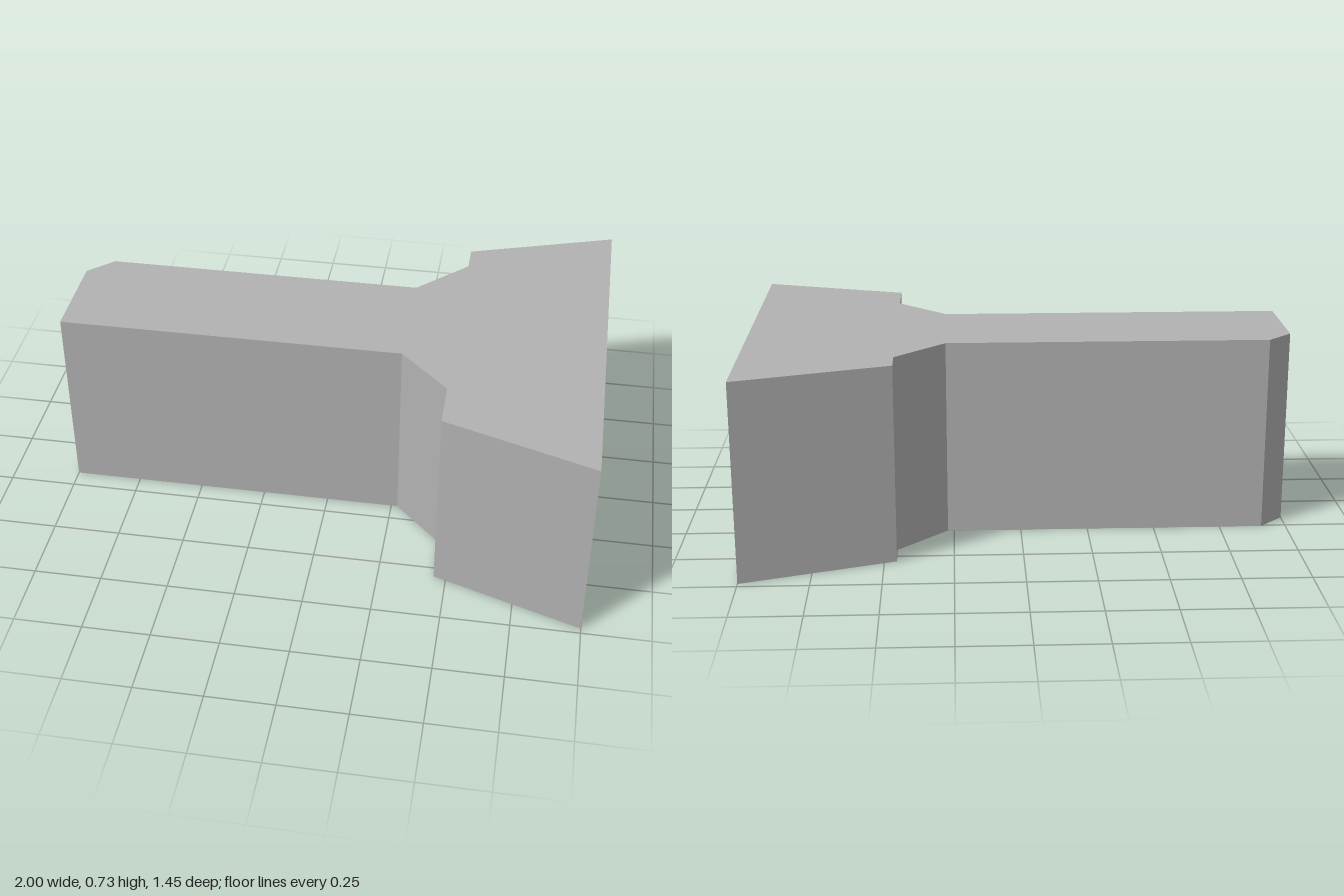
import * as THREE from 'three';

const HEIGHT = 0.727;

// Plan outline as [x, z], running along the back edge and returning along the front
const OUTLINE = [
  [-1, -0.171], [-0.909, -0.257],                // chamfered end of the stem
  [0.273, -0.257], [0.455, -0.439],              // back gusset
  [0.455, -0.547], [1, -0.727],                  // back flare of the head
  [1, 0.727], [0.455, 0.545],                    // front flare of the head
  [0.455, 0.36], [0.273, 0.178],                 // front gusset
  [-1, 0.178],
];

export function createModel() {
  const model = new THREE.Group();
  model.name = 'flaredBlock';

  const grey = new THREE.MeshStandardMaterial({ color: 0xb2b2b2 });
  grey.name = 'plain grey';

  // Extrude the plan upwards; shape y becomes -z once laid flat
  const plan = new THREE.Shape(OUTLINE.map(([x, z]) => new THREE.Vector2(x, -z)));
  const geometry = new THREE.ExtrudeGeometry(plan, { depth: HEIGHT, bevelEnabled: false });
  geometry.rotateX(-Math.PI / 2);

  const body = new THREE.Mesh(geometry, grey);
  body.name = 'stemAndHead';
  model.add(body);
  return model;
}
